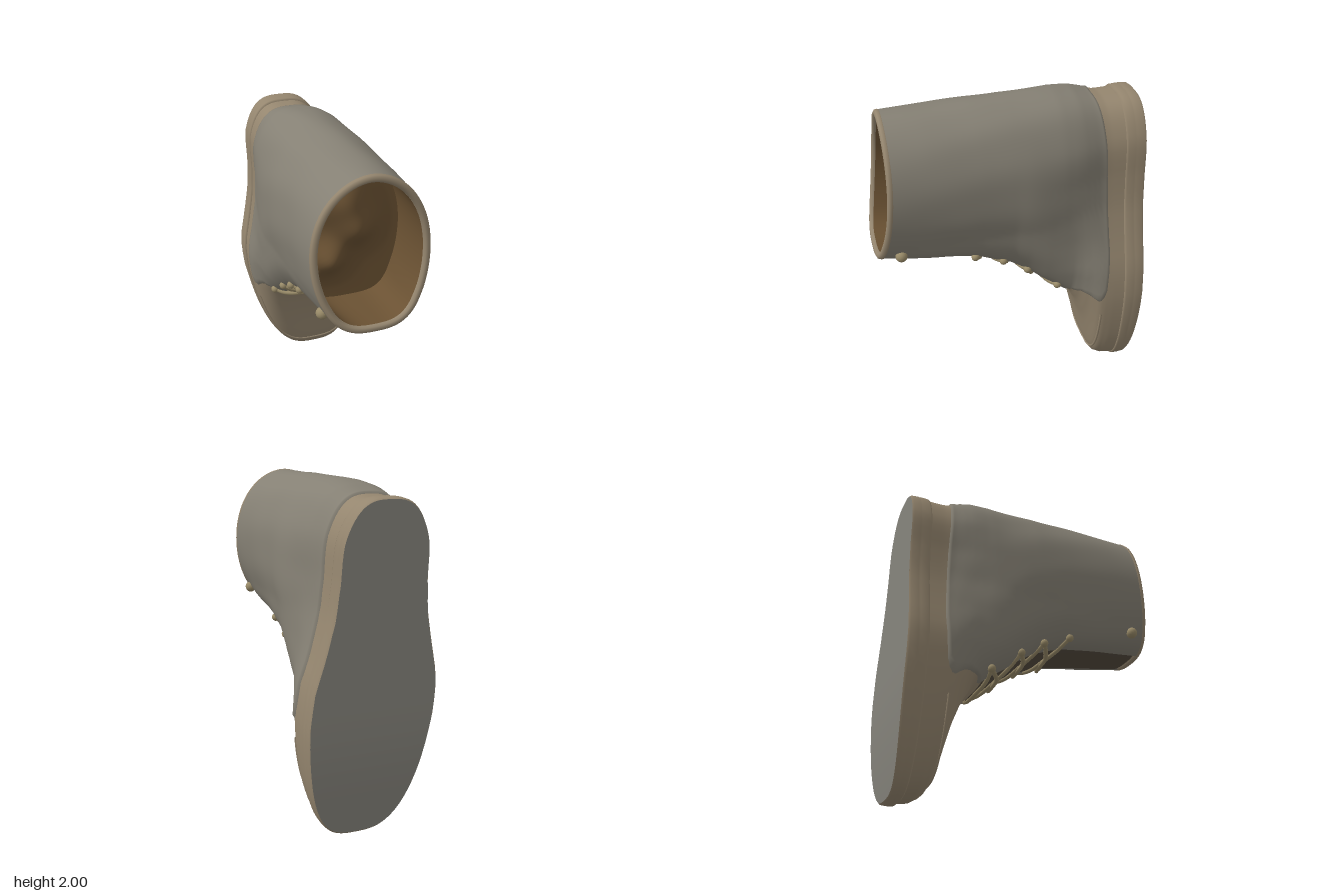
import * as THREE from 'three';
import { mergeVertices } from 'three/addons/utils/BufferGeometryUtils.js';

const PI = Math.PI;

// Linear lookup in a list of [key, value] pairs
function look(table, k) {
  if (k <= table[0][0]) return table[0][1];
  for (let i = 1; i < table.length; i++) {
    const [a, va] = table[i - 1], [b, vb] = table[i];
    if (k <= b) return va + (vb - va) * (k - a) / (b - a);
  }
  return table[table.length - 1][1];
}

// Side profile: front edge and heel edge (y) against z
const FRONT = [[-0.72, 0.015], [-0.62, 0.03], [-0.57, 0.06], [-0.54, 0.13], [-0.515, 0.25], [-0.48, 0.4],
  [-0.43, 0.55], [-0.38, 0.645], [-0.3, 0.715], [-0.2, 0.785], [-0.1, 0.87], [0, 0.94], [0.2, 1.02],
  [0.4, 1.055], [0.6, 1.08], [0.83, 1.115]];
const HEEL = [[-0.72, 1.918], [-0.6, 1.918], [-0.52, 1.932], [-0.42, 1.962], [-0.3, 1.978], [0, 1.986], [0.83, 1.98]];
// Foot plan: half width and centre line against y
const HALF = [[0, 0.39], [0.7, 0.383], [0.9, 0.365], [1.1, 0.315], [1.3, 0.283], [1.5, 0.288], [1.7, 0.33], [2, 0.345]];
const MID = [[0, 0.08], [0.4, 0.037], [0.6, 0.018], [0.8, -0.005], [1, -0.025], [1.5, -0.05], [2, -0.08]];
// Shaft half width, corner roundness and extra squareness towards the instep
const SHAFT = [[-0.6, 0.345], [-0.3, 0.35], [0, 0.34], [0.4, 0.333], [0.8, 0.328]];
const ROUND = [[-0.7, 0.66], [-0.1, 0.76], [0.5, 0.8], [0.8, 0.9]];
const SQUARE = [[-0.58, 0], [-0.45, 0.2], [-0.3, 0.28], [0, 0.25], [0.8, 0.17]];

// Point on the boot surface at depth z; angle 0 is the instep, PI the heel
function raw(z, a) {
  const lo = look(FRONT, z), hi = look(HEEL, z);
  const s = Math.sin(a), c = Math.cos(a);
  const y = (lo + hi) / 2 - (hi - lo) / 2 * c;
  const t = THREE.MathUtils.smoothstep(z, -0.6, -0.05);
  const ankle = look(SHAFT, z) + 0.11 * Math.max(0, 1.25 - y);
  const half = THREE.MathUtils.lerp(look(HALF, y), ankle, t);
  const mid = THREE.MathUtils.lerp(look(MID, y), -0.035 + 0.025 * Math.max(0, z), t);
  const power = look(ROUND, z) - (c > 0 ? look(SQUARE, z) : 0.17 * t) * c;
  return new THREE.Vector3(mid + Math.sign(s) * half * Math.abs(s) ** power, y, z);
}

// Same point, pushed out along the surface normal
function skin(z, a, out = 0) {
  const e = 0.012;
  const across = raw(z, a + e).sub(raw(z, a - e));
  const along = raw(z + e, a).sub(raw(z - e, a));
  return raw(z, a).addScaledVector(across.cross(along).normalize(), out);
}

// Even out point spacing towards the tight front and heel ends
const warp = u => u - 0.36 * Math.sin(2 * u);
const rimZ = a => 0.735 + 0.05 * Math.cos(a) + 0.03 * Math.cos(a) ** 2;

// Smooth surface over a grid of f(u, v)
function sheet(f, nu, nv) {
  const pos = [], index = [];
  for (let j = 0; j <= nv; j++) {
    for (let i = 0; i <= nu; i++) pos.push(...f(i / nu, j / nv).toArray());
  }
  for (let j = 0; j < nv; j++) {
    for (let i = 0; i < nu; i++) {
      const p = j * (nu + 1) + i, q = p + nu + 1;
      index.push(p, p + 1, q + 1, p, q + 1, q);
    }
  }
  const g = new THREE.BufferGeometry();
  g.setAttribute('position', new THREE.Float32BufferAttribute(pos, 3));
  g.setIndex(index);
  const merged = mergeVertices(g, 1e-5);
  merged.computeVertexNormals();
  return merged;
}

function tube(points, radius, closed = false) {
  const curve = new THREE.CatmullRomCurve3(points, closed);
  return new THREE.TubeGeometry(curve, points.length * 3, radius, 8, closed);
}

function ring(f, n = 72) {
  return Array.from({ length: n }, (_, i) => f(warp(i / n * 2 * PI)));
}

export function createModel() {
  const boot = new THREE.Group();
  boot.name = 'boot';
  const mat = color => new THREE.MeshStandardMaterial({ color, side: THREE.DoubleSide });
  const tan = mat(0x95866f), grey = mat(0x858074), rubber = mat(0x86847c);
  const brown = mat(0x6b5233), dark = mat(0x554c3f), cord = mat(0x988a68);
  const add = (name, geometry, material) => {
    const m = new THREE.Mesh(geometry, material);
    m.name = name;
    boot.add(m);
    return m;
  };

  // Sole: rounded wall, then the flat tread with a slight toe lift
  const soleZ = y => -0.82 + 0.045 * Math.max(0, 1 - y / 0.7) ** 2;
  const solePoint = (a, k, out) => {
    const p = raw(-0.7, a), c = new THREE.Vector2(-0.01, 0.965);
    const r = Math.hypot(p.x - c.x, p.y - c.y);
    p.x += (p.x - c.x) / r * out;
    p.y += (p.y - c.y) / r * out;
    p.z = THREE.MathUtils.lerp(soleZ(p.y), -0.695, k);
    return p;
  };
  const wall = [[0, 0.002], [0.1, 0.011], [0.45, 0.014], [0.5, 0.008], [0.55, 0.014], [0.9, 0.012], [1, 0.004], [1, -0.02]];
  add('soleWall', sheet((u, v) => {
    const [k, out] = wall[Math.round(v * (wall.length - 1))];
    return solePoint(warp(u * 2 * PI), k, out);
  }, 112, wall.length - 1), tan);
  add('tread', sheet((u, v) => {
    const a = warp(u * PI);
    return solePoint(a, 0, 0.002).lerp(solePoint(-a, 0, 0.002), v);
  }, 64, 8), rubber);

  // Vamp, heel counter and the shell beneath the quarters
  add('upper', sheet((u, v) => {
    const a = warp(u * 2 * PI);
    return skin(-0.71 + (rimZ(a) + 0.71) * v ** 1.5, a);
  }, 112, 80), tan);

  // Raised seam round the toe plateau
  const seam = [];
  for (let i = -20; i <= 20; i++) seam.push(skin(-0.55, warp(i / 20 * 1.25), 0));
  add('toeSeam', tube(seam, 0.008), tan);

  // Quarters: one wrapped panel, open over the tongue, with soft creases
  const EDGE = [[0, -0.33], [0.4, -0.36], [0.8, -0.45], [1.1, -0.53], [1.3, -0.58], [1.6, -0.6], [2.3, -0.58], [PI, -0.55]];
  const gap = 0.2, first = warp(0.22 * PI);
  add('quarters', sheet((u, v) => {
    const w = warp((0.11 + u * 0.78) * 2 * PI);
    const a = gap + (w - first) / (2 * PI - 2 * first) * (2 * PI - 2 * gap);
    const start = look(EDGE, Math.min(a, 2 * PI - a));
    const z = start + (rimZ(a) - start) * v ** 1.2;
    const border = u === 0 || u === 1 || v === 0;
    const crease = 0.004 * Math.sin(9 * z + 4 * a) * Math.sin(7 * a - 5 * z) * Math.sin(PI * v);
    return skin(z, a, border ? -0.003 : 0.012 + crease);
  }, 120, 60), grey);

  // Tongue showing in the lacing gap
  add('tongue', sheet((u, v) => skin(-0.32 + 1.1 * v, (u - 0.5) * 0.52, 0.005), 24, 40), dark);

  // Padded collar, inner lining and the crumpled stuffing closing the shaft
  add('collar', tube(ring(a => skin(rimZ(a), a, -0.006)), 0.022, true), tan);
  const inner = 0.4;
  add('lining', sheet((u, v) => {
    const a = warp(u * 2 * PI);
    return skin(THREE.MathUtils.lerp(rimZ(a), inner, v), a, -0.028);
  }, 96, 20), brown);
  const lumps = [[-0.08, 1.74, 0.15, 0.12], [0, 1.56, 0.12, 0.12], [-0.16, 1.38, 0.11, 0.12]];
  add('stuffing', sheet((u, v) => {
    const p = skin(inner, warp(u * 2 * PI), -0.028).lerp(new THREE.Vector3(-0.03, 1.53, inner), v);
    for (const [x, y, r, h] of lumps) {
      p.z += h * Math.exp(-((p.x - x) ** 2 + (p.y - y) ** 2) / (r * r)) * Math.min(1, v * 4);
    }
    return p;
  }, 96, 24), brown);

  // Laces: a straight bar at the throat, then crossings, each on eyelets
  const rows = [[-0.29, 0.42], [-0.1, 0.42], [0.06, 0.45], [0.24, 0.5]];
  const lace = (z0, a0, z1, a1, lift) => {
    const pts = [];
    for (let i = 0; i <= 10; i++) {
      const t = i / 10;
      pts.push(skin(z0 + (z1 - z0) * t, a0 + (a1 - a0) * t, 0.014 + lift * Math.sin(PI * t)));
    }
    return tube(pts, 0.014);
  };
  add('laceBar', lace(rows[0][0], -rows[0][1], rows[0][0], rows[0][1], 0), cord);
  for (let i = 1; i < rows.length; i++) {
    for (const s of [-1, 1]) {
      const [z0, a0] = rows[i - 1], [z1, a1] = rows[i];
      add('laceCrossing', lace(z0, -s * a0, z1, s * a1, s > 0 ? 0.012 : 0), cord);
    }
  }
  for (const [z, a] of [...rows, [0.69, 0.72]]) {
    for (const s of [-1, 1]) {
      const knob = add('eyelet', new THREE.SphereGeometry(z > 0.5 ? 0.036 : 0.025, 14, 10), cord);
      knob.position.copy(skin(z, s * a, 0.018));
    }
  }
  return boot;
}
